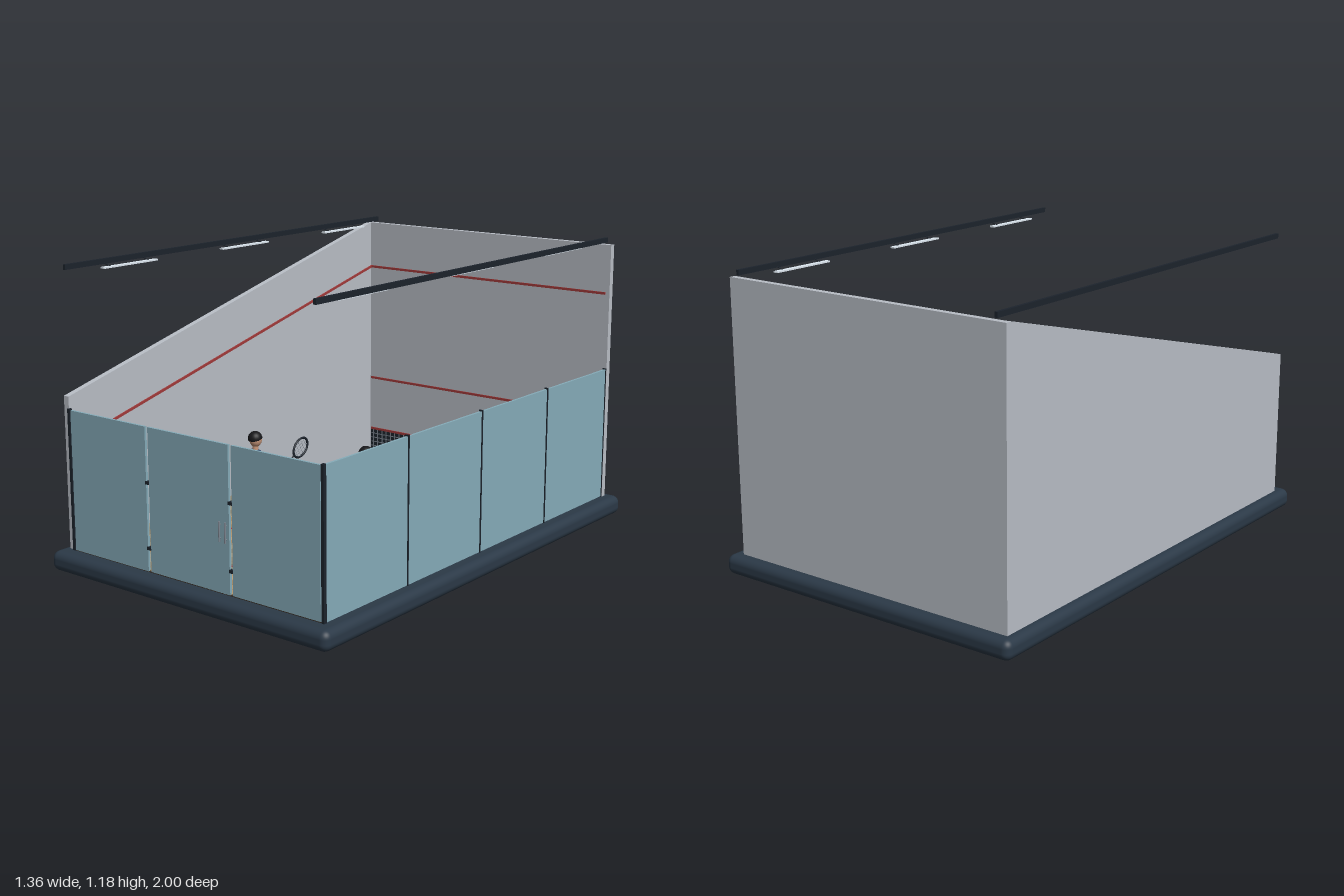
import * as THREE from 'three';
import { mergeGeometries } from 'three/addons/utils/BufferGeometryUtils.js';
import { RoundedBoxGeometry } from 'three/addons/geometries/RoundedBoxGeometry.js';

const mat = (color) => new THREE.MeshStandardMaterial({ color });
const M = {
  base: mat(0x2b3947), wall: mat(0xb9bec6), glass: mat(0x86acb9), dark: mat(0x1c232c),
  red: mat(0xa03a3a), seam: mat(0x3a3028), light: mat(0xdfe9f2), metal: mat(0x7c8590),
  skin: mat(0xc8977a), navy: mat(0x24395c), white: mat(0xe4e6ea), hair: mat(0x17171a),
};
const FLOOR = 0.085;

function add(parent, name, geo, material) {
  const mesh = new THREE.Mesh(geo, material);
  mesh.name = name;
  parent.add(mesh);
  return mesh;
}

// Box given by its lower and upper limits on each axis
function boxGeo(x0, x1, y0, y1, z0, z1) {
  return new THREE.BoxGeometry(x1 - x0, y1 - y0, z1 - z0)
    .translate((x0 + x1) / 2, (y0 + y1) / 2, (z0 + z1) / 2);
}
const box = (p, name, m, ...lim) => add(p, name, boxGeo(...lim), m);

// Outline given as [z, y] points, extruded along x
function sidePlate(points, x0, x1) {
  const shape = new THREE.Shape(points.map(([z, y]) => new THREE.Vector2(-z, y)));
  return new THREE.ExtrudeGeometry(shape, { depth: x1 - x0, bevelEnabled: false })
    .rotateY(Math.PI / 2).translate(x0, 0, 0);
}

// Tapered limb between two points
function limb(p, name, m, a, b, ra, rb) {
  const va = new THREE.Vector3(...a), vb = new THREE.Vector3(...b);
  const dir = vb.clone().sub(va);
  const mesh = add(p, name, new THREE.CylinderGeometry(rb, ra, dir.length(), 12), m);
  mesh.position.copy(va).addScaledVector(dir, 0.5);
  mesh.quaternion.setFromUnitVectors(new THREE.Vector3(0, 1, 0), dir.normalize());
  return mesh;
}

function ball(p, name, m, pos, r, scale = [1, 1, 1]) {
  const mesh = add(p, name, new THREE.SphereGeometry(r, 18, 12), m);
  mesh.position.set(...pos);
  mesh.scale.set(...scale);
  return mesh;
}

// Staggered boards, merged by shade
function makeFloor() {
  const g = new THREE.Group();
  g.name = 'floor';
  box(g, 'underfloor', M.seam, -0.615, 0.615, 0.07, 0.081, -0.935, 0.935);
  const shades = [0xb2966f, 0xa98d68, 0xbda078, 0x9f8561];
  const lists = shades.map(() => []);
  let seed = 7;
  const rand = () => (seed = (seed * 16807) % 2147483647) / 2147483647;
  const n = 36, w = 1.22 / n, len = 0.465;
  for (let i = 0; i < n; i++) {
    const x = -0.61 + i * w;
    const gap = i % 5 < 3 ? 0.004 : 0.0008;
    for (let z = -0.93 - (i % 2) * len / 2; z < 0.92; z += len) {
      const z0 = Math.max(z, -0.93), z1 = Math.min(z + len, 0.93);
      lists[Math.floor(rand() * 4)].push(
        boxGeo(x, x + w - gap, 0.08, FLOOR, z0 + 0.0015, z1 - 0.0015));
    }
  }
  lists.forEach((list, i) => add(g, 'floorBoards', mergeGeometries(list), mat(shades[i])));

  // Court markings
  const line = (x0, x1, z0, z1) => box(g, 'floorLine', M.red, x0, x1, FLOOR - 0.001, FLOOR + 0.001, z0, z1);
  line(-0.61, 0.61, 0.11, 0.12);
  line(-0.005, 0.005, 0.12, 0.93);
  for (const s of [-1, 1]) {
    line(s * 0.305 - 0.005, s * 0.305 + 0.005, 0.12, 0.42);
    line(Math.min(s * 0.3, s * 0.61), Math.max(s * 0.3, s * 0.61), 0.415, 0.425);
  }
  return g;
}

function makeWalls() {
  const g = new THREE.Group();
  g.name = 'walls';
  box(g, 'playingWall', M.wall, -0.62, 0.625, 0.07, 1.155, -0.955, -0.93);
  add(g, 'slopedSideWall', sidePlate(
    [[0.93, 0.07], [0.93, 0.68], [-0.93, 1.155], [-0.955, 1.155], [-0.955, 0.07]], -0.643, -0.618), M.wall);

  // Red lines on the walls
  for (const y of [0.953, 0.43, 0.185])
    box(g, 'wallLine', M.red, -0.612, 0.607, y - 0.005, y + 0.005, -0.932, -0.925);
  add(g, 'sideWallLine', sidePlate(
    [[0.93, 0.488], [0.93, 0.498], [-0.93, 0.958], [-0.93, 0.948]], -0.62, -0.612), M.red);

  // Tin panel with a lattice
  box(g, 'tin', M.dark, -0.612, 0.607, FLOOR, 0.18, -0.931, -0.926);
  const bars = [];
  for (let x = -0.6; x < 0.6; x += 0.025) bars.push(boxGeo(x, x + 0.005, FLOOR, 0.18, -0.927, -0.925));
  for (let y = 0.1; y < 0.18; y += 0.02) bars.push(boxGeo(-0.61, 0.605, y, y + 0.004, -0.927, -0.925));
  add(g, 'tinLattice', mergeGeometries(bars), M.metal);
  return g;
}

function makeGlass() {
  const g = new THREE.Group();
  g.name = 'glassWalls';
  // Rear panels with open gaps; the middle one is the door
  for (const [x0, x1] of [[-0.605, -0.212], [-0.198, 0.193], [0.207, 0.605]])
    box(g, 'rearGlassPanel', M.glass, x0, x1, 0.08, 0.63, 0.925, 0.935);
  for (const x of [-0.205, 0.2])
    for (const y of [0.17, 0.42])
      box(g, 'hinge', M.dark, x - 0.009, x + 0.009, y - 0.006, y + 0.006, 0.922, 0.938);
  for (const x of [-0.613, 0.616])
    box(g, 'cornerPost', M.dark, x - 0.006, x + 0.006, 0.07, 0.635, 0.924, 0.938);
  for (const x of [0.152, 0.18])
    for (const z of [0.918, 0.942]) {
      limb(g, 'doorHandle', M.metal, [x, 0.272, z], [x, 0.348, z], 0.0035, 0.0035);
      for (const y of [0.285, 0.335]) limb(g, 'handleMount', M.metal, [x, y, 0.93], [x, y, z], 0.0025, 0.0025);
    }
  // Side panels with posts between them
  for (let i = 0; i < 4; i++) {
    const z = -0.93 + i * 0.465;
    box(g, 'sideGlassPanel', M.glass, 0.611, 0.621, 0.08, 0.632, z + 0.003, z + 0.462);
    box(g, 'sidePost', M.dark, 0.608, 0.624, 0.07, 0.637, z - 0.003, z + 0.003);
  }
  return g;
}

// Rails along both sides, with lamps hung on their inner side
function makeLights() {
  const g = new THREE.Group();
  g.name = 'lighting';
  for (const s of [-1, 1]) {
    box(g, 'lightRail', M.dark, s * 0.594 - 0.006, s * 0.594 + 0.006, 1.163, 1.183, -0.945, 0.945);
    for (const z of [-0.65, 0, 0.65]) {
      box(g, 'lamp', M.light, s * 0.558 - 0.01, s * 0.558 + 0.01, 1.152, 1.158, z - 0.14, z + 0.14);
      for (const dz of [-0.1, 0.1])
        limb(g, 'lampBracket', M.dark, [s * 0.594, 1.168, z + dz], [s * 0.56, 1.157, z + dz], 0.002, 0.002);
    }
  }
  return g;
}

// Player facing the playing wall, feet at the local origin
function makePlayer(shirt, shorts) {
  const g = new THREE.Group();
  g.name = 'player';
  for (const s of [-1, 1]) {
    const x = s * 0.028, fz = s * 0.02;
    limb(g, 'leg', M.skin, [x * 1.4, 0.02, fz], [x, 0.16, 0], 0.011, 0.017);
    limb(g, 'sock', M.white, [x * 1.4, 0.015, fz], [x * 1.32, 0.05, fz * 0.8], 0.013, 0.014);
    ball(g, 'shoe', M.white, [x * 1.4, 0.012, fz - 0.012], 0.03, [0.5, 0.4, 1]);
    limb(g, 'shortsLeg', shorts, [x * 1.1, 0.13, 0], [x * 0.8, 0.2, 0], 0.027, 0.027);
    ball(g, 'shoulder', shirt, [s * 0.055, 0.283, 0], 0.023);
  }
  const hips = limb(g, 'hips', shorts, [0, 0.175, 0], [0, 0.205, 0], 0.045, 0.043);
  hips.scale.z = 0.7;
  const profile = [[0, 0.19], [0.042, 0.192], [0.045, 0.22], [0.056, 0.265], [0.052, 0.293], [0.02, 0.31], [0, 0.312]];
  add(g, 'torso', new THREE.LatheGeometry(profile.map((p) => new THREE.Vector2(...p)), 24), shirt).scale.z = 0.6;
  limb(g, 'neck', M.skin, [0, 0.3, 0], [0, 0.335, 0], 0.013, 0.012);
  ball(g, 'head', M.skin, [0, 0.352, -0.002], 0.027, [0.9, 1.15, 1]);
  const hair = add(g, 'hair', new THREE.SphereGeometry(0.029, 18, 10, 0, Math.PI * 2, 0, Math.PI * 0.52), M.hair);
  hair.position.set(0, 0.357, 0.001);
  hair.rotation.x = 0.25;

  // Arms
  const arm = (shoulder, mid, elbow, hand) => {
    limb(g, 'sleeve', shirt, shoulder, mid, 0.02, 0.018);
    limb(g, 'upperArm', M.skin, mid, elbow, 0.013, 0.011);
    ball(g, 'elbow', M.skin, elbow, 0.011);
    limb(g, 'forearm', M.skin, elbow, hand, 0.011, 0.008);
    ball(g, 'hand', M.skin, hand, 0.012);
  };
  arm([0.057, 0.283, 0], [0.073, 0.255, -0.005], [0.082, 0.22, -0.012], [0.105, 0.25, -0.06]);
  arm([-0.057, 0.283, 0], [-0.066, 0.255, 0.008], [-0.068, 0.215, 0.018], [-0.05, 0.18, 0.05]);

  // Racket standing in the vertical plane along z
  const racket = new THREE.Group();
  racket.name = 'racket';
  racket.position.set(0.105, 0.25, -0.06);
  racket.rotation.x = -1.05;
  limb(racket, 'grip', M.dark, [0, -0.015, 0], [0, 0.035, 0], 0.006, 0.005);
  limb(racket, 'shaft', M.dark, [0, 0.035, 0], [0, 0.064, 0], 0.003, 0.003);
  const rim = add(racket, 'rim', new THREE.TorusGeometry(0.035, 0.004, 8, 32).rotateY(Math.PI / 2), M.dark);
  rim.position.y = 0.107;
  rim.scale.y = 1.3;
  for (let i = -2; i <= 2; i++) {
    const o = i * 0.012, h = Math.sqrt(0.035 ** 2 - o * o);
    limb(racket, 'string', M.metal, [0, 0.107 - h * 1.3, o], [0, 0.107 + h * 1.3, o], 0.0006, 0.0006);
    limb(racket, 'string', M.metal, [0, 0.107 + o * 1.3, -h], [0, 0.107 + o * 1.3, h], 0.0006, 0.0006);
  }
  g.add(racket);
  return g;
}

export function createModel() {
  const model = new THREE.Group();
  model.name = 'squashCourt';
  add(model, 'base', new RoundedBoxGeometry(1.36, 0.078, 2, 5, 0.03), M.base).position.y = 0.039;
  model.add(makeFloor(), makeWalls(), makeGlass(), makeLights());

  const first = makePlayer(M.navy, M.dark);
  first.position.set(-0.265, FLOOR, 0.28);
  const second = makePlayer(M.white, M.dark);
  second.position.set(0.218, FLOOR, 0.187);
  model.add(first, second);
  ball(model, 'ball', M.dark, [0.245, FLOOR + 0.015, 0.395], 0.016);
  return model;
}
